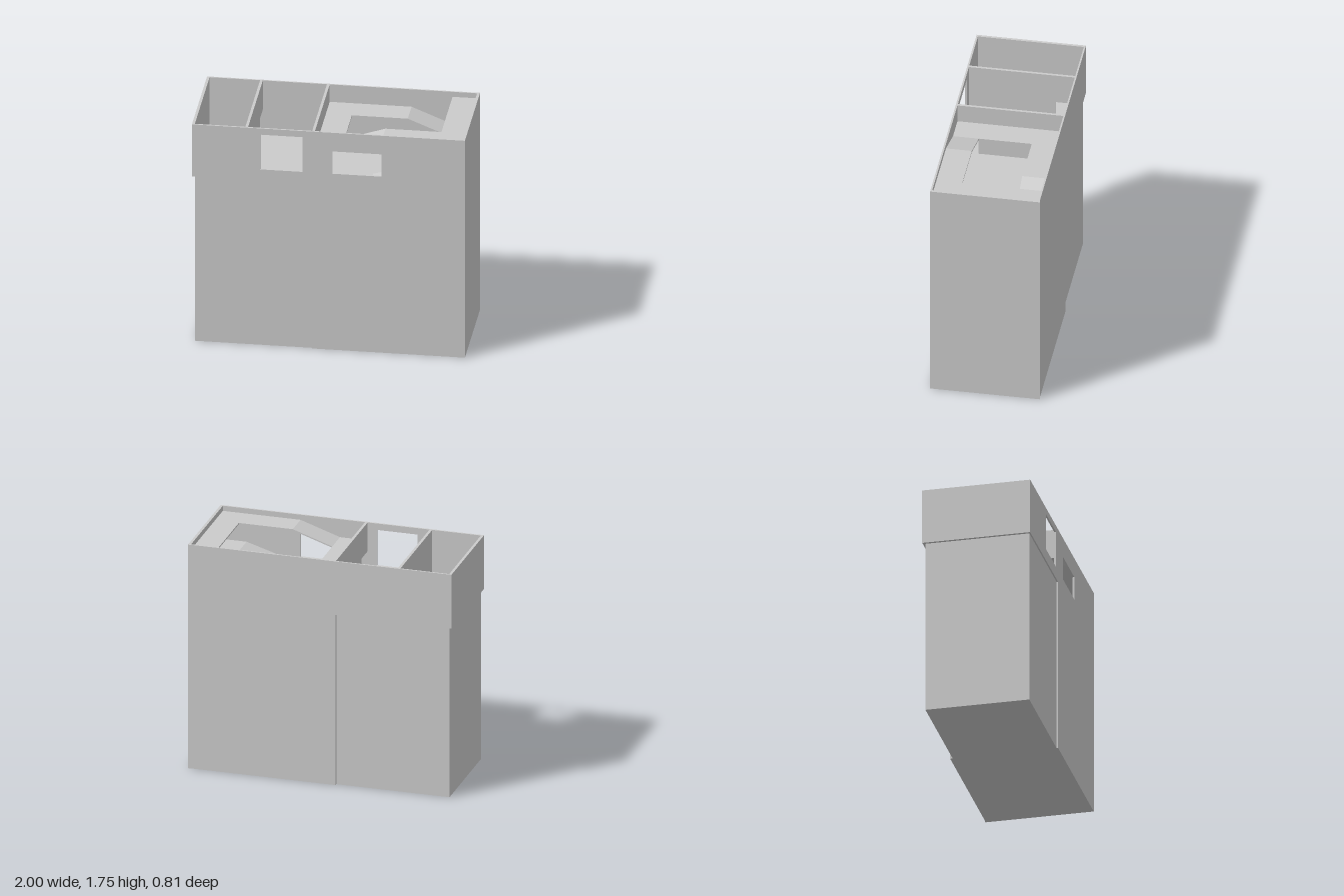
import * as THREE from 'three';

const material = new THREE.MeshStandardMaterial({ color: 0xcccccc, flatShading: true });

export function createModel() {
  const group = new THREE.Group();

  const add = (name, geometry) => {
    const mesh = new THREE.Mesh(geometry, material);
    mesh.name = name;
    group.add(mesh);
  };

  // Box given by its extents
  const box = (name, x0, x1, y0, y1, z0, z1) => {
    const g = new THREE.BoxGeometry(x1 - x0, y1 - y0, z1 - z0);
    g.translate((x0 + x1) / 2, (y0 + y1) / 2, (z0 + z1) / 2);
    add(name, g);
  };

  const points = (list) => list.map(([x, y]) => new THREE.Vector2(x, y));

  // Outline in x and y, pushed from z0 to z1, with rectangular openings
  const extrude = (name, outline, z0, z1, openings = []) => {
    const shape = new THREE.Shape(points(outline));
    for (const [x0, x1, y0, y1] of openings) {
      shape.holes.push(new THREE.Path(points([[x0, y0], [x0, y1], [x1, y1], [x1, y0]])));
    }
    const g = new THREE.ExtrudeGeometry(shape, { depth: z1 - z0, bevelEnabled: false });
    g.translate(0, 0, z0);
    add(name, g);
  };

  // Thin slab following a line of floor points
  const slab = (name, line, z0, z1) => {
    const under = line.map(([x, y]) => [x, y - 0.01]).reverse();
    extrude(name, [...line, ...under], z0, z1);
  };

  const floor = 1.34;
  const top = 1.75;

  // Solid lower storeys
  box('lowerBlock', -0.98, -0.12, 0, 1.335, -0.383, 0.392);
  box('mainBlock', -0.12, 0.98, 0, floor, -0.39, 0.39);
  box('upperFloor', -0.98, -0.12, 1.33, floor, -0.39, 0.39);

  // Front and back walls, cut away over the lower block
  const wall = [[-1, 1.33], [-0.12, 1.33], [-0.12, 0], [0.985, 0], [0.985, top], [-1, top]];
  extrude('frontWall', wall, 0.39, 0.403, [[-0.5, -0.19, 1.42, 1.7], [0.03, 0.39, 1.42, 1.6]]);
  extrude('backWall', wall, -0.402, -0.39);

  // End walls
  box('rightWall', -1, -0.98, 1.33, top, -0.402, 0.403);
  box('leftWall', 0.98, 1, 0, top, -0.405, 0.403);

  // Room dividers, each with a low doorway at one end
  box('rightDivider', -0.61, -0.59, floor, top, -0.245, 0.39);
  box('rightDoorLintel', -0.61, -0.59, 1.515, top, -0.39, -0.245);
  box('leftDivider', -0.12, -0.1, floor, top, -0.39, 0.235);
  box('leftDoorLintel', -0.12, -0.1, 1.525, top, 0.235, 0.39);

  // Upper landings and ramps winding round the open well
  slab('upperFrontRamp', [[0.98, 1.71], [0.39, 1.71], [0.09, 1.61], [-0.1, 1.61]], 0.2, 0.39);
  box('upperLeftLanding', 0.8, 0.98, 1.7, 1.71, -0.39, 0.2);
  box('upperRightLanding', -0.1, 0.09, 1.6, 1.61, -0.19, 0.2);
  slab('backRamp', [[0.98, 1.49], [0.8, 1.49], [0.5, 1.61], [-0.1, 1.61]], -0.39, -0.19);

  // Lower landing and the ramp down to the floor
  box('lowerLanding', 0.8, 0.98, floor, 1.49, -0.39, 0.2);
  extrude('lowerFrontRamp', [[0.98, floor], [0.98, 1.49], [0.8, 1.49], [0.3, floor]], 0.2, 0.39);

  return group;
}
